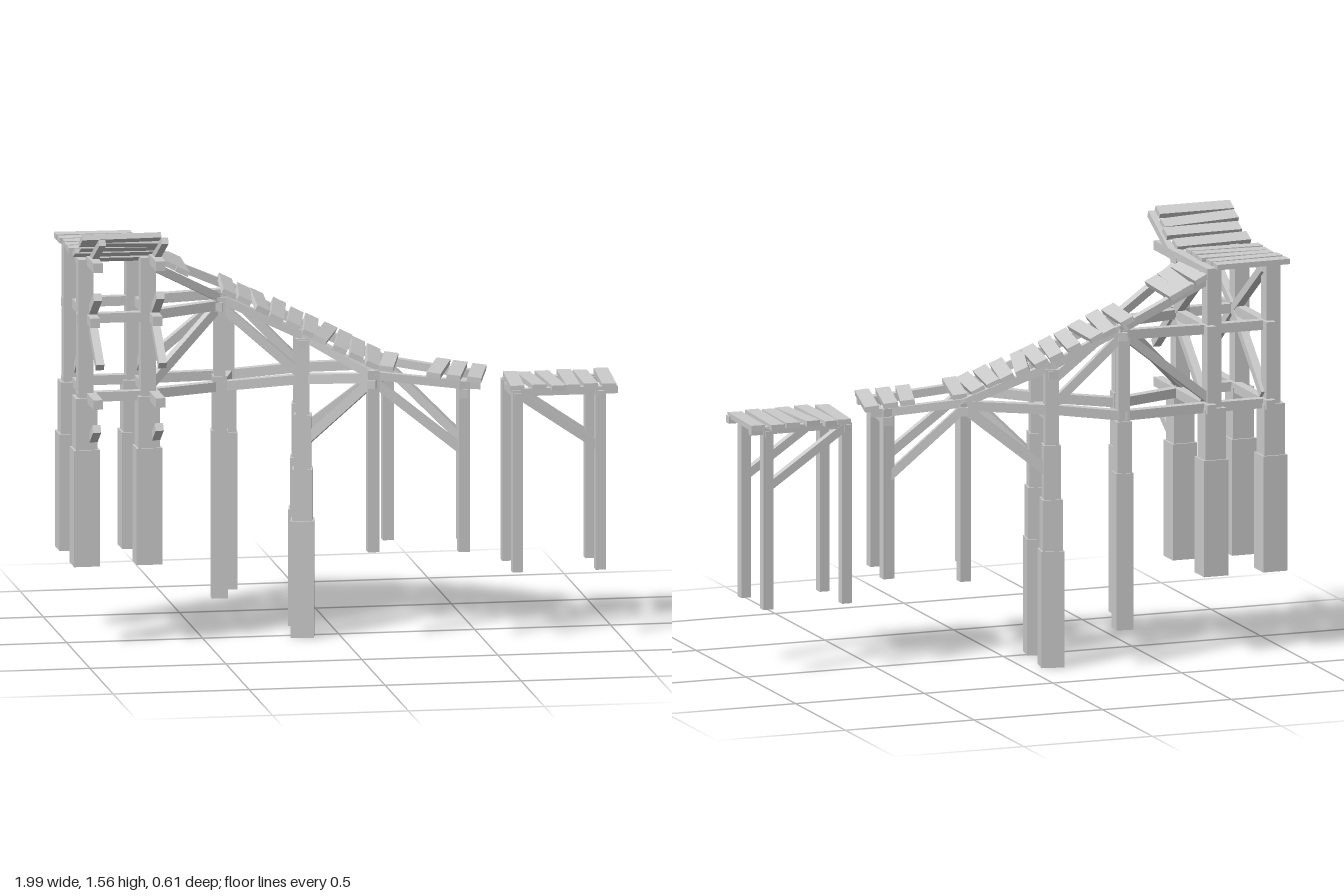
import * as THREE from 'three';

const mat = new THREE.MeshStandardMaterial({ color: 0xcccccc, flatShading: true });
const V = (x, y, z) => new THREE.Vector3(x, y, z);

export function createModel() {
  const root = new THREE.Group();
  let seed = 11;
  const jitter = (a) => {
    seed = (seed * 16807) % 2147483647;
    return (seed / 2147483647 - 0.5) * 2 * a;
  };

  function box(name, w, h, d) {
    const m = new THREE.Mesh(new THREE.BoxGeometry(w, h, d), mat);
    m.name = name;
    root.add(m);
    return m;
  }

  // Square timber between two points, optionally running past both ends
  function beam(name, a, b, size = 0.035, over = 0) {
    const m = box(name, size, size, a.distanceTo(b) + over * 2);
    m.position.copy(a).add(b).multiplyScalar(0.5);
    m.lookAt(b);
  }

  // Post in stacked sections that get thinner upward
  function post(name, x, z, levels, widths, yaw = 0) {
    widths.forEach((w, i) => {
      const h = levels[i + 1] - levels[i];
      const m = box(name, w, h, w);
      m.position.set(x, levels[i] + h / 2, z);
      m.rotation.y = yaw;
    });
  }

  // Board lying across the travel direction
  function plank(name, p, dir, length, width, skew) {
    const m = box(name, width, 0.02, length);
    const t = dir.clone().normalize();
    const across = V(-t.z, 0, t.x).normalize();
    const n = across.clone().cross(t);
    m.quaternion.setFromRotationMatrix(new THREE.Matrix4().makeBasis(t, n, across));
    m.rotateY(skew);
    m.rotateX(jitter(0.02));
    m.position.copy(p);
  }

  // Tower
  const towerX = [-0.945, -0.715], zF = 0.07, zR = -0.245;
  for (const x of towerX) {
    for (const z of [zF, zR]) post('towerPost', x, z, [0.3, 0.73, 0.92, 1.43], [0.095, 0.08, 0.055]);
    for (const y of [0.92, 1.21, 1.425])
      beam('towerCrossBeam', V(x + 0.02, y, y === 1.21 ? 0.18 : 0.24), V(x + 0.02, y, -0.3), 0.035);
    const s = x + 0.025;
    // Inner braces and the broken stubs on the open side
    beam('towerBrace', V(s, 1.21, zF - 0.02), V(s, 1.42, zR), 0.03);
    beam('towerBrace', V(s, 1.21, zF - 0.02), V(s, 0.95, zR), 0.03);
    beam('brokenBrace', V(s, 1.22, 0.06), V(s, 1.31, 0.2), 0.03);
    beam('brokenBrace', V(s, 1.21, 0.06), V(s, 1.06, 0.25), 0.03);
    beam('brokenBrace', V(s, 0.75, 0.07), V(s, 0.82, 0.18), 0.03);
    beam('raisedRail', V(s, 1.38, 0), V(s, 1.53, 0.3), 0.025);
  }
  for (const z of [zF, zR])
    for (const y of [0.92, 1.21]) beam('towerSideBeam', V(-0.945, y, z), V(-0.715, y, z), 0.035, 0.03);

  // Tower deck: level boards, then the raised broken end
  [-0.28, -0.215, -0.15, -0.085, -0.02].forEach((z) =>
    plank('towerPlank', V(-0.845 + jitter(0.01), 1.447, z), V(0, 0, 1), 0.28, 0.052, jitter(0.05)));
  [0.03, 0.095, 0.155, 0.21, 0.27].forEach((z) =>
    plank('raisedPlank', V(-0.835 + jitter(0.02), 1.41 + z * 0.48, z), V(0, 0.48, 1), 0.29, 0.05, jitter(0.08)));

  // Ramp supports: front and rear post of each bent, with rail height
  const bents = [
    { f: [-0.715, 0.05], r: [-0.715, -0.245], y: 1.4 },
    { f: [-0.43, -0.05], r: [-0.36, -0.27], y: 1.245 },
    { f: [-0.135, 0.015], r: [-0.105, -0.21], y: 1.11 },
    { f: [0.1, 0.15], r: [0.2, -0.12], y: 0.98 },
    { f: [0.425, 0.2], r: [0.46, -0.02], y: 0.945 },
  ];
  const at = (b, k, y) => V(b[k][0], y, b[k][1]);
  post('rampPost', -0.43, -0.05, [0.14, 0.76, 0.96, 1.25], [0.06, 0.052, 0.042], -0.1);
  post('rampPost', -0.36, -0.27, [0.13, 0.71, 0.9, 1.21], [0.065, 0.056, 0.042], -0.1);
  for (const k of ['f', 'r']) {
    const [x, z] = bents[2][k];
    post('rampPost', x, z, [0, 0.43, 0.62, 0.82, 1.1], [0.085, 0.074, 0.062, 0.05], -0.2);
  }
  post('slimPost', 0.1, 0.15, [0.33, 1], [0.042]);
  post('slimPost', 0.2, -0.12, [0.32, 0.98], [0.04]);
  post('slimPost', 0.425, 0.2, [0.33, 0.96], [0.042]);
  post('slimPost', 0.46, -0.02, [0.33, 0.96], [0.042]);

  for (const k of ['f', 'r']) {
    const [b0, b1, b2, b3, b4] = bents;
    // Rails under the boards
    for (let i = 0; i < 4; i++)
      beam('rampRail', at(bents[i], k, bents[i].y), at(bents[i + 1], k, bents[i + 1].y), 0.03, 0.015);
    beam('railEnd', at(b4, k, b4.y), at(b4, k, b4.y).add(V(0.06, 0, 0.012)), 0.03);
    // Horizontal ties
    beam('upperTie', at(b0, k, 1.21), at(b1, k, 1.22), 0.035, 0.02);
    beam('lowerTie', at(b0, k, 0.92), at(b1, k, 0.92), 0.035, 0.02);
    beam('lowerTie', at(b1, k, 0.92), at(b2, k, 0.95), 0.035, 0.01);
    beam('lowerTie', at(b2, k, 0.95), at(b3, k, 0.97), 0.035, 0.01);
    // Diagonal braces
    beam('brace', at(b0, k, 0.94), at(b1, k, 1.22), 0.032);
    beam('brace', at(b1, k, 1.22), at(b2, k, 0.96), 0.032);
    beam('brace', at(b3, k, 0.96), at(b2, k, 0.71), 0.035);
    beam('brace', at(b3, k, 0.96), at(b4, k, 0.7), 0.032);
  }
  bents.slice(1).forEach((b, i) => {
    beam('capBeam', at(b, 'f', b.y - 0.03), at(b, 'r', b.y - 0.03), 0.032, 0.03);
    if (i < 2) beam('bentTie', at(b, 'f', 0.92), at(b, 'r', 0.92), 0.032, 0.02);
  });

  // Ramp boards, placed by x along the centre line, with gaps where boards are missing
  const mids = bents.map((b) => at(b, 'f', b.y).add(at(b, 'r', b.y)).multiplyScalar(0.5));
  mids[0].z = -0.155;
  const boards = [-0.665, -0.61, -0.565, -0.385, -0.325, -0.27, -0.205, -0.145, -0.09, -0.04,
    0.02, 0.07, 0.125, 0.18, 0.355, 0.42, 0.49];
  for (const x of boards) {
    let i = 0;
    while (i < 3 && x > mids[i + 1].x) i++;
    const d = mids[i + 1].clone().sub(mids[i]);
    const p = mids[i].clone().addScaledVector(d, (x - mids[i].x) / d.x);
    p.y += 0.026;
    // Heading eases along the curve so neighbouring boards stay nearly parallel
    const heading = x < -0.5 ? 0.02 : x < -0.25 ? 0.13 : 0.24;
    plank('rampPlank', p, V(1, d.y / d.x, heading), 0.285 + jitter(0.01), 0.052, jitter(0.07));
  }

  // Detached end platform
  for (const z of [0.21, -0.015]) {
    for (const x of [0.62, 0.925]) post('platformPost', x, z, [0.25, 0.92], [0.037]);
    beam('platformRail', V(0.605, 0.912, z), V(0.99, 0.912, z), 0.027);
    beam('platformBrace', V(0.63, 0.9, z), V(0.925, 0.7, z), 0.03);
  }
  for (const x of [0.62, 0.925]) beam('platformCap', V(x, 0.9, 0.24), V(x, 0.9, -0.04), 0.025);
  [0.63, 0.693, 0.762, 0.83, 0.892, 0.965].forEach((x) =>
    plank('platformPlank', V(x, 0.928, 0.085 + jitter(0.012)), V(1, 0, 0.02), 0.28, 0.052, jitter(0.08)));

  return root;
}
